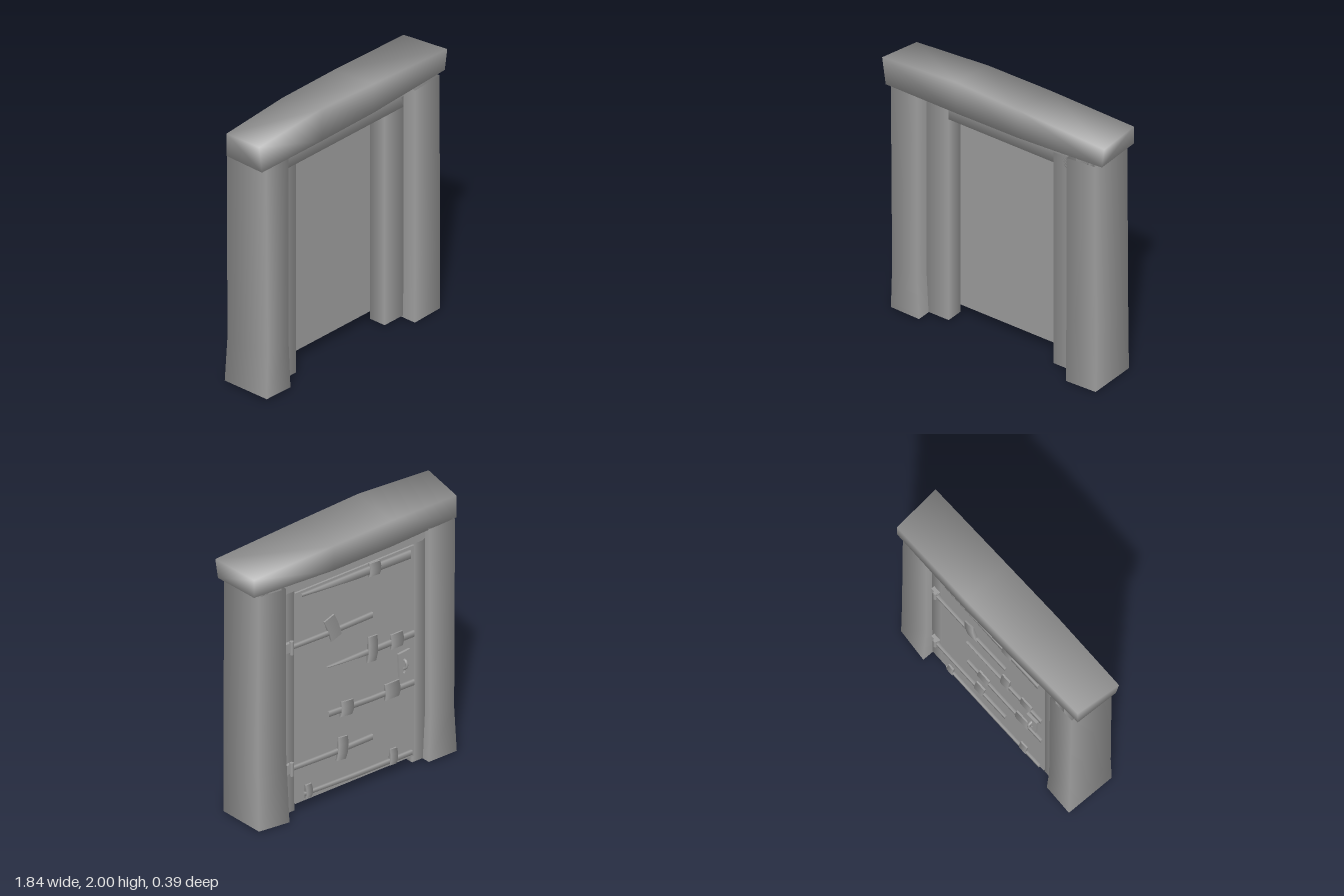
import * as THREE from 'three';

const material = new THREE.MeshStandardMaterial({ color: 0x9b9b9b });
const openMaterial = new THREE.MeshStandardMaterial({ color: 0x9b9b9b, side: THREE.DoubleSide });

// Skin through four-cornered rings, smooth around the sides.
// ends: 'flat' caps, 'smooth' caps sharing the side normals, or 'open'.
function loft(name, rings, ends = 'flat') {
  const pts = rings.map((ring) => ring.map((p) => new THREE.Vector3(...p)));
  const n = pts.length;
  const axis = pts[n - 1][0].clone().sub(pts[0][0]).normalize();
  const pos = [], nor = [], idx = [];
  const add = (p, normal) => {
    pos.push(...p.toArray());
    nor.push(...normal.toArray());
  };
  pts.forEach((ring, i) => {
    const edges = ring.map((p, j) => ring[(j + 1) % 4].clone().sub(p).cross(axis).normalize());
    ring.forEach((p, j) => {
      const normal = edges[j].clone().add(edges[(j + 3) % 4]);
      if (ends === 'smooth' && i === 0) normal.sub(axis);
      if (ends === 'smooth' && i === n - 1) normal.add(axis);
      add(p, normal.normalize());
      if (i < n - 1) {
        const a = i * 4 + j, b = i * 4 + (j + 1) % 4;
        idx.push(a, b, b + 4, a, b + 4, a + 4);
      }
    });
  });
  if (ends !== 'open') {
    let c = 0, d = (n - 1) * 4;
    if (ends === 'flat') {
      c = n * 4;
      d = c + 4;
      pts[0].forEach((p) => add(p, axis.clone().negate()));
      pts[n - 1].forEach((p) => add(p, axis));
    }
    idx.push(c, c + 2, c + 1, c, c + 3, c + 2, d, d + 1, d + 2, d, d + 2, d + 3);
  }
  const geo = new THREE.BufferGeometry();
  geo.setAttribute('position', new THREE.Float32BufferAttribute(pos, 3));
  geo.setAttribute('normal', new THREE.Float32BufferAttribute(nor, 3));
  geo.setIndex(idx);
  const mesh = new THREE.Mesh(geo, ends === 'open' ? openMaterial : material);
  mesh.name = name;
  return mesh;
}

// Level ring for upright parts; tilt raises the +x side, skew moves its back.
const levelRing = (y, x0, x1, z0, z1, tilt = 0, skew = 0) =>
  [[x0, y, z1], [x1, y + tilt, z1], [x1, y + tilt, z0 + skew], [x0, y, z0]];

// Upright ring for parts running along x.
const crossRing = (x, y0, y1, z0, z1) =>
  [[x, y0, z1], [x, y0, z0], [x, y1, z0], [x, y1, z1]];

function box(name, x0, x1, y0, y1, z0, z1) {
  const mesh = new THREE.Mesh(new THREE.BoxGeometry(x1 - x0, y1 - y0, z1 - z0), material);
  mesh.position.set((x0 + x1) / 2, (y0 + y1) / 2, (z0 + z1) / 2);
  mesh.name = name;
  return mesh;
}

export function createModel() {
  const model = new THREE.Group();
  model.name = 'doorway';
  const doorBack = -0.13, doorFront = -0.045, frameFront = 0.085, frameBack = -0.115;

  // Heavy hollow posts with slightly flared feet
  model.add(loft('rightPost', [
    levelRing(0.02, -0.85, -0.617, -0.187, 0.19, -0.005, 0.01),
    levelRing(0.35, -0.84, -0.635, -0.172, 0.19),
    levelRing(1.77, -0.853, -0.635, -0.165, 0.187),
  ], 'open'));
  model.add(loft('leftPost', [
    levelRing(0.002, 0.602, 0.848, -0.196, 0.19, 0.008, 0.02),
    levelRing(0.5, 0.605, 0.85, -0.166, 0.19),
    levelRing(1.76, 0.605, 0.843, -0.165, 0.19, 0.02),
  ], 'open'));

  // Rough lintel, its top sloping to the back
  const lintel = (xTop, xBottom, xBack, y0, y1, yBack, z0) => [
    [xBottom, y0, 0.188], [xBack, y0, z0], [xBack, yBack, z0], [xTop, y1, 0.19]];
  model.add(loft('lintel', [
    lintel(-0.923, -0.895, -0.885, 1.757, 1.96, 1.925, -0.14),
    lintel(-0.31, -0.31, -0.31, 1.755, 2.0, 1.95, -0.165),
    lintel(0.2, 0.2, 0.2, 1.76, 1.98, 1.945, -0.175),
    lintel(0.92, 0.898, 0.89, 1.797, 1.947, 1.93, -0.175),
  ], 'smooth'));

  // Inner frame, rebated at the back so that the door sits inside it
  model.add(loft('header', [
    crossRing(-0.64, 1.6, 1.78, doorFront, frameFront),
    crossRing(0.61, 1.6, 1.78, doorFront, frameFront),
  ]));
  model.add(box('headerRebate', -0.64, 0.61, 1.67, 1.77, frameBack, doorFront));
  const upright = (name, x0, x1, z0, z1) => model.add(loft(name,
    [levelRing(0.018, x0, x1, z0, z1), levelRing(1.68, x0, x1, z0, z1)], 'open'));
  upright('rightJamb', -0.64, -0.45, doorFront, frameFront);
  upright('rightJambRebate', -0.64, -0.525, frameBack, doorFront);
  upright('leftJamb', 0.42, 0.61, doorFront, frameFront);
  upright('leftJambRebate', 0.49, 0.61, frameBack, doorFront);

  // Door panel
  model.add(box('doorPanel', -0.53, 0.495, 0.075, 1.67, doorBack, doorFront));

  // Iron straps: x, y and height at each end
  const straps = [
    [-0.49, 1.62, 0.06, 0.45, 1.645, 0.02],
    [-0.16, 1.28, 0.04, 0.54, 1.28, 0.03],
    [-0.52, 1.01, 0.045, 0.23, 1.02, 0.008],
    [-0.52, 0.64, 0.04, 0.22, 0.66, 0.04],
    [-0.16, 0.355, 0.04, 0.54, 0.36, 0.03],
    [-0.5, 0.115, 0.035, 0.43, 0.13, 0.025],
  ];
  straps.forEach(([xa, ya, ha, xb, yb, hb]) => {
    const xm = (xa + xb) / 2, ym = (ya + yb) / 2 - 0.006, hm = Math.max(ha, hb) * 0.9;
    const ring = (x, y, h) => crossRing(x, y - h / 2, y + h / 2, doorBack - 0.016, doorBack + 0.01);
    model.add(loft('strap', [ring(xa, ya, ha), ring(xm, ym, hm), ring(xb, yb, hb)]));
  });

  // Bent clamps over the straps: x, y, width, height, turn
  const clamps = [
    [-0.18, 1.62, 0.09, 0.1, 0.05],
    [0.18, 1.3, 0.09, 0.18, -0.35],
    [-0.16, 1.02, 0.075, 0.19, 0.05], [-0.37, 1.01, 0.1, 0.11, 0],
    [0.06, 0.65, 0.1, 0.11, 0.1], [-0.33, 0.645, 0.12, 0.12, 0],
    [0.1, 0.36, 0.08, 0.17, 0.1],
    [0.39, 0.14, 0.05, 0.1, 0], [-0.34, 0.14, 0.06, 0.12, 0.05],
  ];
  clamps.forEach(([x, y, w, h, turn]) => {
    const ring = (t, depth) => levelRing(t * h, -w / 2, w / 2, -depth, 0.005);
    const clamp = loft('clamp', [ring(-0.5, 0.012), ring(-0.2, 0.024), ring(0.2, 0.024), ring(0.5, 0.012)]);
    clamp.position.set(x, y, doorBack);
    clamp.rotation.z = turn;
    model.add(clamp);
  });

  // Hinges on the left jamb
  for (const y of [1.28, 0.36]) {
    model.add(box('hingePlate', 0.525, 0.585, y - 0.035, y + 0.035, -0.14, -0.11));
    const pin = new THREE.Mesh(new THREE.CylinderGeometry(0.014, 0.014, 0.1, 8), material);
    pin.position.set(0.54, y, -0.145);
    pin.name = 'hingePin';
    model.add(pin);
  }

  // Lock plate with a keyhole and a small pull
  const plate = new THREE.Shape([[-0.04, -0.1], [0.04, -0.09], [0.05, 0.09], [-0.05, 0.1]]
    .map(([x, y]) => new THREE.Vector2(x, y)));
  plate.holes.push(new THREE.Path().absellipse(0, -0.045, 0.012, 0.025, 0, Math.PI * 2, true));
  const lock = new THREE.Mesh(
    new THREE.ExtrudeGeometry(plate, { depth: 0.02, bevelEnabled: false, curveSegments: 6 }), material);
  lock.position.set(-0.43, 0.81, doorBack - 0.018);
  lock.name = 'lockPlate';
  const path = new THREE.CatmullRomCurve3([
    new THREE.Vector3(-0.43, 0.845, -0.14), new THREE.Vector3(-0.43, 0.835, -0.168),
    new THREE.Vector3(-0.43, 0.8, -0.17), new THREE.Vector3(-0.425, 0.775, -0.145)]);
  const pull = new THREE.Mesh(new THREE.TubeGeometry(path, 8, 0.011, 6), material);
  pull.name = 'pull';
  model.add(lock, pull);

  return model;
}
